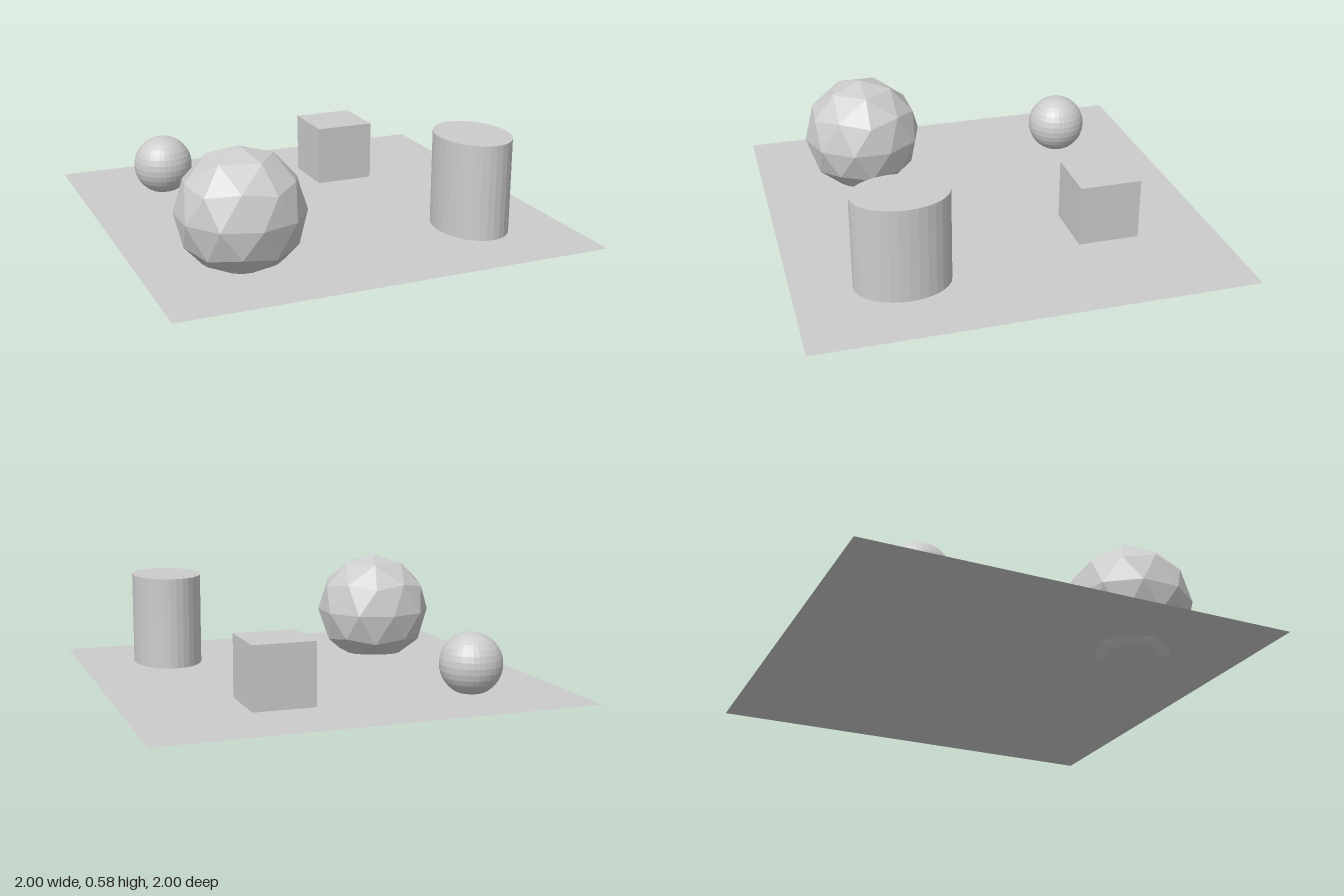
import * as THREE from 'three';

export function createModel() {
  const model = new THREE.Group();
  const grey = new THREE.MeshStandardMaterial({ color: 0xcccccc, flatShading: true });
  grey.name = 'plainGrey';
  const greySheet = grey.clone();
  greySheet.side = THREE.DoubleSide;

  const add = (name, geometry, x, y, z, material = grey) => {
    const mesh = new THREE.Mesh(geometry, material);
    mesh.name = name;
    mesh.position.set(x, y, z);
    model.add(mesh);
    return mesh;
  };

  // Paper-thin square floor
  add('floor', new THREE.PlaneGeometry(2, 2).rotateX(-Math.PI / 2), 0, 0.071, 0, greySheet);

  // Cube
  add('cube', new THREE.BoxGeometry(0.29, 0.29, 0.29), 0.328, 0.217, -0.484);

  // Small faceted ball
  add('smallBall', new THREE.SphereGeometry(0.145, 32, 16), -0.576, 0.2, -0.581);

  // Oval column, longer along z
  const column = add('ovalColumn', new THREE.CylinderGeometry(1, 1, 0.442, 32), 0.574, 0.301, 0.515);
  column.scale.set(0.166, 1, 0.22);

  // Large low-poly ball: icosahedron standing on a corner, divided once
  const corners = [0, 1, 0, 0, -1, 0];
  const faces = [];
  const h = 1 / Math.sqrt(5);
  for (let k = 0; k < 5; k++) {
    const a = (k * Math.PI * 2) / 5;
    const b = a + Math.PI / 5;
    corners.push(2 * h * Math.cos(a), h, -2 * h * Math.sin(a));
    corners.push(2 * h * Math.cos(b), -h, -2 * h * Math.sin(b));
    const u = 2 + 2 * k, l = u + 1;
    const u2 = 2 + 2 * ((k + 1) % 5), l2 = u2 + 1;
    faces.push(0, u, u2, u, l, u2, u2, l, l2, 1, l2, l);
  }
  add('largeBall', new THREE.PolyhedronGeometry(corners, faces, 0.29, 1), -0.534, 0.29, 0.477);

  return model;
}
